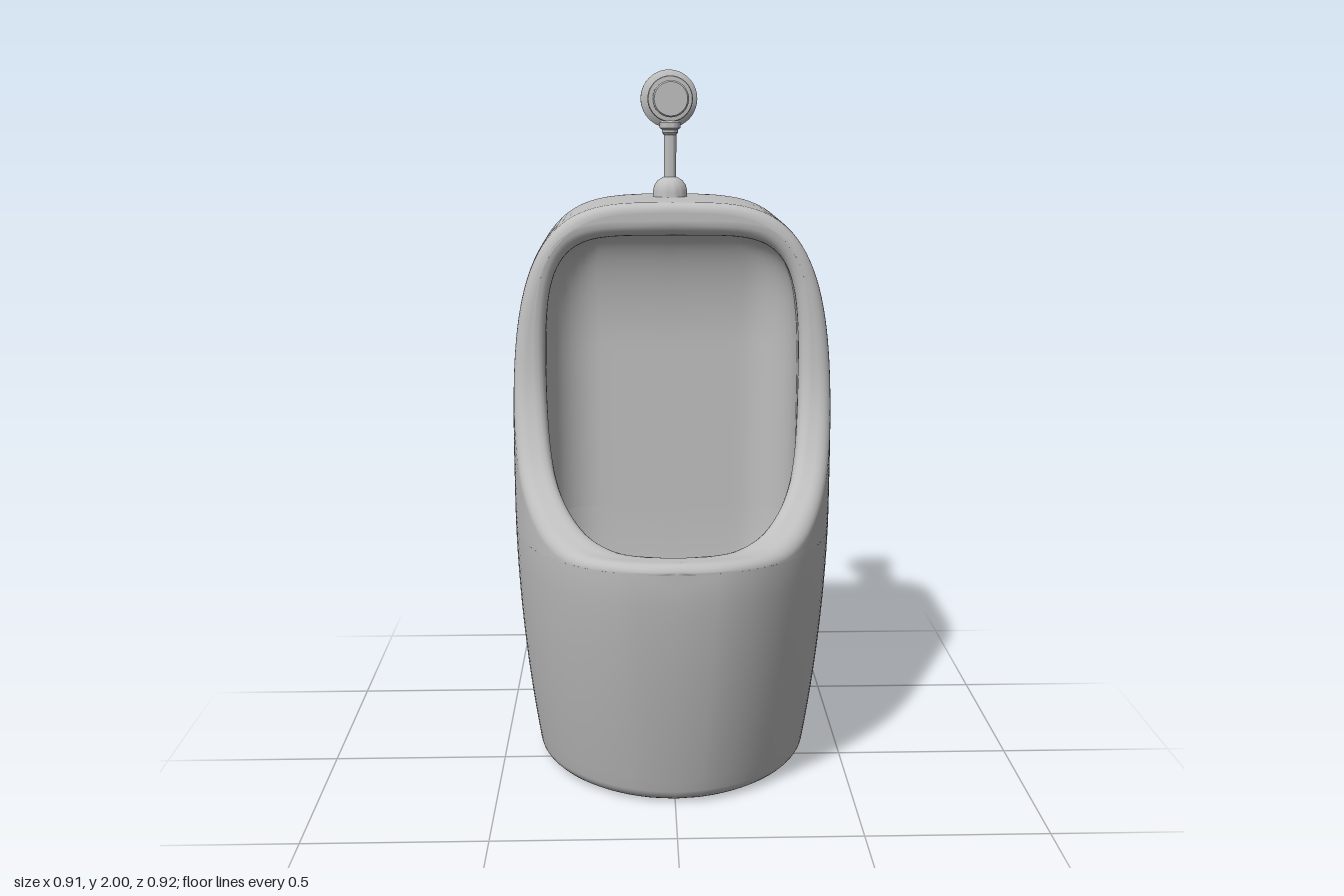
import * as THREE from 'three';
import { mergeGeometries, mergeVertices, toCreasedNormals } from 'three/addons/utils/BufferGeometryUtils.js';

const TOP = 1.64, LIP = 0.745, IN_TOP = 1.548, STATIONS = 56;
const R = 0.025, RI = 0.038; // edge radius outside and inside the rim
const { smoothstep, lerp, clamp } = THREE.MathUtils;

// Side profile (z, y) of the cut that forms the rim, from the front lip to the top
const cut = new THREE.SplineCurve([
  [0.455, LIP], [0.41, LIP], [0.37, 0.746], [0.33, 0.757], [0.26, 0.80], [0.15, 0.90],
  [0.085, 1.0], [0.04, 1.12], [0.021, 1.25], [0.015, 1.4], [0.015, 1.52], [0.015, TOP],
].map(([z, y]) => new THREE.Vector2(z, y)));
cut.arcLengthDivisions = 600;

// Point on the cut at fraction q, sunk into the body by d along the normal
function cutPoint(q, d) {
  const p = cut.getPointAt(q), t = cut.getTangentAt(q);
  return { y: p.y - d * Math.max(0, -t.x), c: p.x - d * t.y };
}
// Last fraction before the test becomes true
function findQ(test) {
  let q = 0;
  while (q < 1 && !test(cut.getPointAt(q))) q += 0.0005;
  return q - 0.0005;
}

const cap = (y, start, top, n) =>
  Math.pow(1 - clamp((y - start) / (top - start), 0, 1) ** n, 1 / n);

// Plan outlines: half width, front, back and squareness at each height
const outer = {
  top: TOP, corner: 0.06,
  width: y => (0.455 - 0.065 * Math.max(0, (0.8 - y) / 0.8) ** 2) * cap(y, 0.8, TOP, 3.7),
  front: y => 0.455 - 0.15 * Math.max(0, (0.7 - y) / 0.7) ** 1.3,
  back: y => -0.44 + 0.05 * (1 - cap(y, 1.58, TOP, 2)),
  power: y => 2.2 - 0.3 * Math.max(0, (0.7 - y) / 0.7),
};
const inner = {
  top: IN_TOP, corner: 0.15,
  width: y => 0.36 * cap(y, 1.0, IN_TOP, 5),
  front: () => 0.355,
  back: y => -0.25 + 0.12 * (1 - cap(y, 1.2, IN_TOP, 2)),
  power: () => 2.2,
};

const Z0 = -0.1; // where the sides begin to curve towards the front
// Half outline (x >= 0) from the back centre to where it meets z = c
function outline(o, y, c, inset = 0) {
  const w = Math.max(0, o.width(y) - inset), f = o.front(y) - inset, b = o.back(y) + inset;
  const r = Math.min(o.corner, w, Z0 - b), n = o.power(y), pts = [];
  for (let i = 0; i < 5; i++) pts.push([(w - r) * i / 5, y, b]);
  for (let i = 0; i <= 8; i++) {
    const a = i / 8 * Math.PI / 2;
    pts.push([w - r + r * Math.sin(a), y, b + r - r * Math.cos(a)]);
  }
  const u = Math.min(1, (c - Z0) / (f - Z0)), end = Math.asin(Math.pow(u, n / 2));
  for (let i = 0; i <= 20; i++) {
    const k = i / 20;
    const g = lerp(Math.asin(Math.pow(k * u, n / 2)), end * k, 0.5);
    pts.push([w * Math.pow(Math.max(0, Math.cos(g)), 2 / n), y,
      Z0 + (f - Z0) * Math.pow(Math.sin(g), 2 / n)]);
  }
  return pts;
}

// Point of the rounded rim edge; grow < 0 moves inward, > 0 outward
function edgePoint(o, q, d, grow) {
  const { y, c } = cutPoint(q, d);
  const f = o.front(y) + grow, z = Math.min(c, f), n = o.power(y);
  const u = Math.min(1, (z - Z0) / (f - Z0));
  const x = o.width(y) * (1 + grow / 0.4) * Math.pow(1 - u ** n, 1 / n);
  return [x, y + grow * smoothstep(y, 1.3, o.top), z];
}

// Surface through rows of points, plus its mirror image
function loft(rows) {
  const n = rows[0].length, parts = [];
  for (const side of [1, -1]) {
    const g = new THREE.BufferGeometry(), index = [];
    g.setAttribute('position', new THREE.Float32BufferAttribute(
      rows.flat().flatMap(([x, y, z]) => [x * side, y, z]), 3));
    for (let i = 0; i < rows.length - 1; i++) {
      for (let j = 0; j < n - 1; j++) {
        const a = i * n + j, b = a + 1, c = a + n, d = c + 1;
        index.push(...(side > 0 ? [a, c, b, b, c, d] : [a, b, c, b, d, c]));
      }
    }
    g.setIndex(index);
    parts.push(g);
  }
  return mergeGeometries(parts);
}

function basinGeometry() {
  const qIn = findQ(p => p.x <= 0.355 + RI), qTop = findQ(p => p.y >= IN_TOP) + 0.0005;
  const upper = [], lower = [], bowl = [];

  // Walls, rim and cavity above the lip
  for (let k = 0; k <= STATIONS; k++) {
    const s = (1 - Math.cos(Math.PI * k / STATIONS)) / 2;
    const qo = s, qi = lerp(qIn, qTop, s);
    const po = cutPoint(qo, R), pi = cutPoint(qi, RI);
    const row = outline(outer, po.y, k ? po.c : 9);
    for (let i = 1; i <= 5; i++) {
      const a = i / 5 * Math.PI / 2;
      row.push(edgePoint(outer, qo, R * (1 - Math.sin(a)), -R * (1 - Math.cos(a))));
    }
    const A = row[row.length - 1], B = edgePoint(inner, qi, 0, RI);
    for (let i = 1; i < 6; i++) {
      const t = i / 6, p = cutPoint(lerp(qo, qi, t), 0), y = lerp(A[1], B[1], t);
      row.push([lerp(A[0], B[0], t), lerp(p.y, y, smoothstep(s, 0.5, 0.8)),
        lerp(lerp(A[2], B[2], t), p.c, Math.min(1, s / 0.1))]);
    }
    for (let i = 5; i >= 1; i--) {
      const a = i / 5 * Math.PI / 2;
      row.push(edgePoint(inner, qi, RI * (1 - Math.sin(a)), RI * (1 - Math.cos(a))));
    }
    row.push(...outline(inner, pi.y, k ? pi.c : 9).reverse());
    upper.push(row);
  }

  // Flat base with a rounded edge, then the body up to the lip
  const shrink = (row, s, zc) => row.map(([x, y, z]) => [x * s, y, zc + (z - zc) * s]);
  const E = 0.04, base = outline(outer, 0, 9, E);
  for (const s of [0, 0.5, 0.97]) lower.push(shrink(base, s, -0.08));
  for (let i = 0; i <= 6; i++) {
    const a = i / 6 * Math.PI / 2;
    lower.push(outline(outer, E * (1 - Math.cos(a)), 9, E * (1 - Math.sin(a))));
  }
  const wallTop = cutPoint(0, R).y, bowlTop = cutPoint(qIn, RI).y;
  for (let i = 1; i <= 16; i++) lower.push(outline(outer, lerp(E, wallTop, i / 16), 9));

  // Rounded bowl below the lip
  for (let i = 0; i <= 20; i++) {
    const a = i / 20 * Math.PI / 2;
    const row = outline(inner, bowlTop - 0.5 * Math.cos(a), 9).reverse();
    bowl.push(shrink(row, Math.pow(Math.sin(a), 0.8), -0.14));
  }
  const g = mergeVertices(mergeGeometries([loft(upper), loft(lower), loft(bowl)]), 1e-4);
  g.computeVertexNormals();
  return g;
}

const turned = pts => toCreasedNormals(
  new THREE.LatheGeometry(pts.map(([r, h]) => new THREE.Vector2(r, h)), 40), 0.6);

export function createModel() {
  const group = new THREE.Group();
  const ceramic = new THREE.MeshStandardMaterial({ color: 0xbfbfbf });
  ceramic.name = 'grey ceramic';
  const add = (name, geometry) => {
    const mesh = new THREE.Mesh(geometry, ceramic);
    mesh.name = name;
    group.add(mesh);
    return mesh;
  };

  add('basin', basinGeometry());

  // Supply pipe with domed foot and small collar
  const pipe = add('supplyPipe', turned([
    [0, 1.62], [0.05, 1.62], [0.05, 1.655], [0.046, 1.672], [0.036, 1.686], [0.022, 1.694],
    [0.018, 1.696], [0.018, 1.815], [0.023, 1.822], [0.023, 1.83], [0.03, 1.835], [0.03, 1.85],
    [0.023, 1.857], [0.023, 1.885], [0, 1.885],
  ]));
  pipe.position.z = -0.26;

  // Horizontal valve with a hollow wall flange behind
  const valve = add('flushValve', turned([
    [0, -0.385], [0.04, -0.385], [0.07, -0.395], [0.076, -0.46], [0.084, -0.46], [0.084, -0.386],
    [0.08, -0.382], [0.052, -0.374], [0.051, -0.37], [0.051, -0.298], [0.063, -0.296],
    [0.065, -0.291], [0.065, -0.241], [0.063, -0.236], [0.051, -0.235], [0.051, -0.166],
    [0.047, -0.161], [0, -0.161],
  ]));
  valve.rotation.x = Math.PI / 2;
  valve.position.y = 1.917;
  return group;
}
